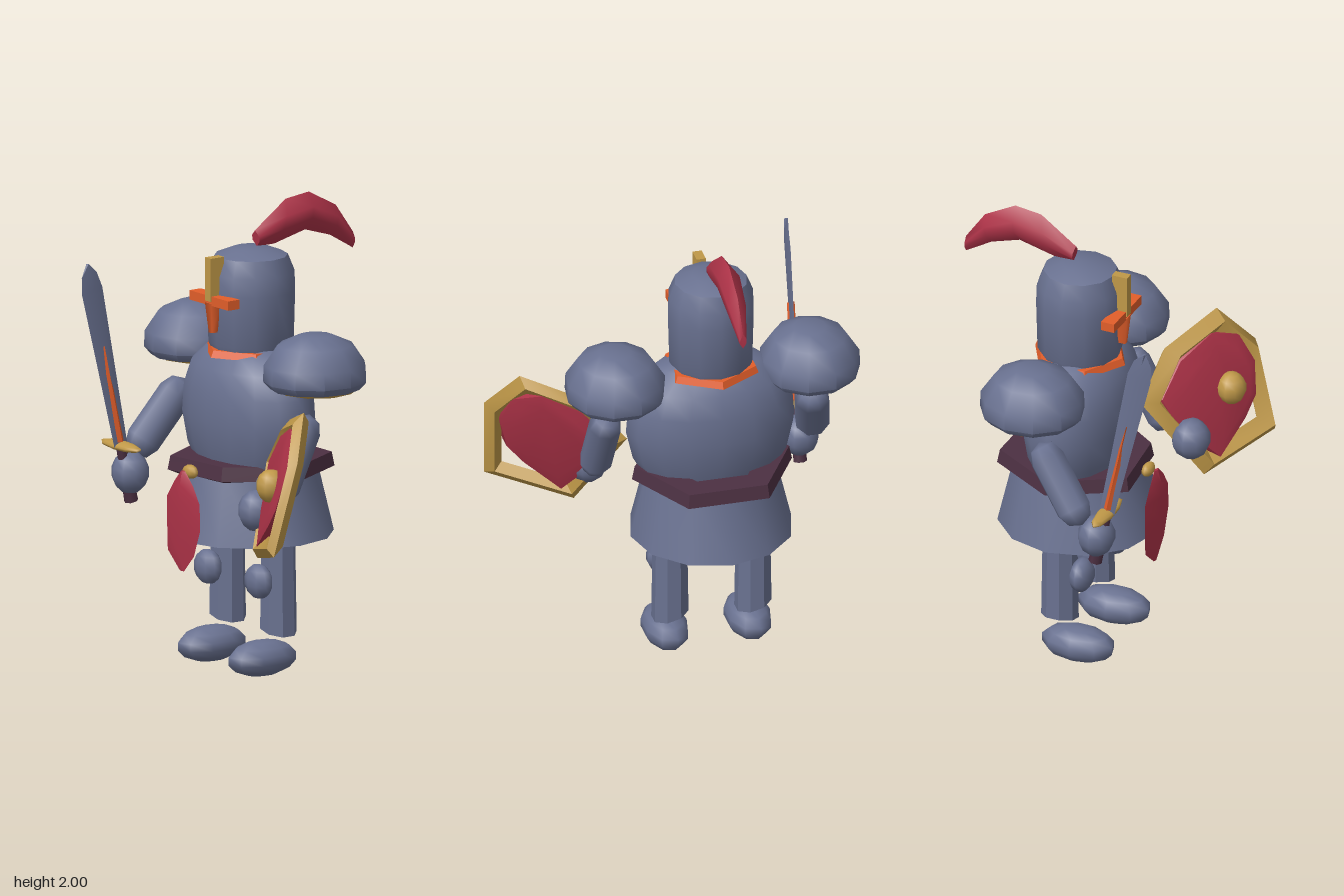
import * as THREE from 'three';
import { toCreasedNormals } from 'three/addons/utils/BufferGeometryUtils.js';

const makeMaterial = (name, color, side = THREE.FrontSide) => {
  const m = new THREE.MeshStandardMaterial({ color, side });
  m.name = name;
  return m;
};

// Joins rings of [x, y, z] points; closed rings loop round, open ones get end caps.
function loft(rings, closed = false, crease = 0.7) {
  const n = rings[0].length, count = rings.length, index = [];
  const pts = rings.flat();
  for (let i = 0; i < (closed ? count : count - 1); i++) {
    for (let j = 0; j < n; j++) {
      const a = i * n + j, b = i * n + (j + 1) % n;
      const c = ((i + 1) % count) * n + j, d = ((i + 1) % count) * n + (j + 1) % n;
      index.push(a, b, d, a, d, c);
    }
  }
  if (!closed) {
    const e = (count - 1) * n;
    for (let j = 1; j < n - 1; j++) index.push(0, j + 1, j, e, e + j, e + j + 1);
  }
  // Turn the faces outward if the enclosed volume is negative
  let volume = 0;
  const v = pts.map((p) => new THREE.Vector3(...p));
  for (let i = 0; i < index.length; i += 3) {
    volume += v[index[i]].dot(v[index[i + 1]].clone().cross(v[index[i + 2]]));
  }
  if (volume < 0) index.reverse();
  const g = new THREE.BufferGeometry();
  g.setAttribute('position', new THREE.Float32BufferAttribute(pts.flat(), 3));
  g.setIndex(index);
  return toCreasedNormals(g, crease);
}

// Six-cornered band; one outer radius per corner, starting at +x and turning to the front
const hexBand = (radii, inner, height, turn) => loft(radii.map((r, i) => {
  const a = i * Math.PI / 3 + turn, h = height / 2;
  const at = (rad, y) => [rad * Math.cos(a), y, rad * Math.sin(a)];
  return [at(inner, h), at(r - 0.012, h), at(r, -h * 0.5), at(r - 0.05, -h), at(inner, -h * 0.6)];
}), true);

const lathe = (points, sides) => toCreasedNormals(
  new THREE.LatheGeometry(points.map(([r, y]) => new THREE.Vector2(r, y)), sides), 0.8);

export function createModel() {
  const steel = makeMaterial('steel', 0x697190, THREE.DoubleSide);
  const red = makeMaterial('red', 0xae3348);
  const gold = makeMaterial('gold', 0xbf9848);
  const orange = makeMaterial('orange', 0xe25e2a);
  const leather = makeMaterial('dark leather', 0x4c3042);

  const model = new THREE.Group();
  model.name = 'knight';
  const cx = -0.125; // centre line of the body

  const add = (name, geometry, material, x = 0, y = 0, z = 0, parent = model) => {
    const mesh = new THREE.Mesh(geometry, material);
    mesh.name = name;
    mesh.position.set(x, y, z);
    parent.add(mesh);
    return mesh;
  };
  const ball = (name, material, x, y, z, rx, ry, rz, parent = model) =>
    add(name, new THREE.SphereGeometry(1, 9, 7).scale(rx, ry, rz), material, x, y, z, parent);
  const limb = (name, from, to, radius) => {
    const a = new THREE.Vector3(...from), b = new THREE.Vector3(...to);
    const dir = b.clone().sub(a);
    const mesh = add(name, new THREE.CapsuleGeometry(radius, dir.length(), 2, 8), steel);
    mesh.position.copy(a).add(b).multiplyScalar(0.5);
    mesh.quaternion.setFromUnitVectors(new THREE.Vector3(0, 1, 0), dir.normalize());
  };

  // Helmet with its cross-shaped visor
  add('helmet', lathe([[0.15, 1.34], [0.18, 1.4], [0.186, 1.62], [0.183, 1.7],
    [0.155, 1.77], [0.08, 1.8], [0, 1.805]], 12), steel, cx);
  add('visorBar', new THREE.BoxGeometry(0.275, 0.04, 0.06), orange, cx, 1.6, 0.19);
  add('visorCrest', new THREE.BoxGeometry(0.04, 0.185, 0.07), gold, cx, 1.69, 0.19);
  add('visorPoint', new THREE.CylinderGeometry(0.03, 0.016, 0.13, 4, 1).rotateY(Math.PI / 4).scale(1, 1, 1.3),
    orange, cx, 1.525, 0.197);

  // Plume: [top z, top y, bottom z, bottom y, half width]
  const plume = [[-0.02, 1.87, -0.03, 1.8, 0.025], [-0.18, 1.985, -0.12, 1.8, 0.042],
    [-0.3, 2, -0.28, 1.84, 0.047], [-0.44, 1.925, -0.41, 1.8, 0.038],
    [-0.528, 1.8, -0.528, 1.73, 0.015]];
  add('plume', loft(plume.map(([tz, ty, bz, by, w]) => {
    const at = (x, t) => [x, by + (ty - by) * t, bz + (tz - bz) * t];
    return [at(0, 1), at(w, 0.65), at(w, 0.35), at(0, 0), at(-w, 0.35), at(-w, 0.65)];
  }), false, 1.2), red, cx);

  // Body
  add('breastplate', lathe([[0, 0.85], [0.28, 0.855], [0.335, 0.95], [0.365, 1.08], [0.355, 1.2],
    [0.315, 1.3], [0.22, 1.375], [0.12, 1.4], [0, 1.4]], 16).scale(1, 1, 0.61), steel, cx, 0, 0.012);
  add('collar', hexBand(Array(6).fill(0.208), 0.15, 0.04, Math.PI / 6), orange, cx, 1.362, 0);
  add('belt', hexBand([0.342, 0.31, 0.352, 0.352, 0.35, 0.352], 0.22, 0.08, 0), leather, cx, 0.875, 0);
  add('skirt', lathe([[0.349, 0.58], [0.28, 0.87], [0, 0.875]], 12), steel, cx);
  ball('buckle', gold, cx, 0.878, 0.315, 0.045, 0.03, 0.025);

  // Hanging cloth: [y, left x, right x, half thickness]
  const cloth = [[0.885, -0.14, -0.11, 0.008], [0.83, -0.19, -0.055, 0.02], [0.76, -0.24, -0.01, 0.022],
    [0.65, -0.24, -0.005, 0.02], [0.53, -0.235, -0.05, 0.012], [0.455, -0.15, -0.12, 0.004]];
  add('hangingCloth', loft(cloth.map(([y, l, r, t]) => {
    const m = (l + r) / 2, z = 0.352;
    return [[l, y, z], [m, y, z + t], [r, y, z], [m, y, z - t]];
  })), red);

  // Shoulders, legs and feet on both sides
  for (const side of [-1, 1]) {
    const sx = cx + side * 0.422, lx = cx + side * 0.18;
    add('shoulder', lathe([[0, 1.272], [0.185, 1.268], [0.213, 1.3], [0.21, 1.37], [0.155, 1.455],
      [0.07, 1.495], [0, 1.495]], 11).scale(1, 1, 1.05), steel, sx, 0, -0.025);
    add('shoulderLining', new THREE.CylinderGeometry(0.188, 0.16, 0.026, 9), gold, sx, 1.268, -0.03);
    // The shin ends are cut at a slant
    add('leg', loft([[0.76, 0.07, 0], [0.19, 0.079, 0.02]].map(([y, r, slant]) =>
      Array.from({ length: 8 }, (_, i) => {
        const a = (i + 0.5) * Math.PI / 4;
        return [r * Math.cos(a), y - slant * Math.cos(a), r * Math.sin(a)];
      }))), steel, lx, 0, -0.01);
    ball('knee', steel, lx, 0.41, 0.092, 0.078, 0.075, 0.05);
    ball('foot', steel, lx, 0.08, 0.075, 0.098, 0.077, 0.168);
  }

  // Arms and hands
  limb('rightArm', [-0.58, 1.1, 0.06], [-0.618, 0.91, 0.2], 0.076);
  limb('leftArm', [0.32, 1.1, 0.05], [0.33, 0.87, 0.165], 0.07);
  ball('rightHand', steel, -0.587, 0.79, 0.29, 0.085, 0.092, 0.08);
  ball('leftHand', steel, 0.33, 0.79, 0.3, 0.085, 0.09, 0.085);

  // Sword, leaning forward
  const sword = new THREE.Group();
  sword.name = 'sword';
  sword.position.set(-0.587, 0.91, 0.338);
  sword.rotation.x = 0.215;
  model.add(sword);
  const blade = (name, profile, thick, material) => add(name, loft(profile.map(([y, w]) =>
    [[0, y, w], [thick, y, 0], [0, y, -w], [-thick, y, 0]])), material, 0, 0, 0, sword);
  blade('blade', [[0, 0.034], [0.3, 0.042], [0.7, 0.054], [0.77, 0.04], [0.82, 0.006]], 0.009, steel);
  blade('bladeGroove', [[0.02, 0.022], [0.25, 0.019], [0.45, 0.003]], 0.017, orange);
  ball('guard', gold, 0, 0, 0, 0.14, 0.018, 0.034, sword);
  add('grip', new THREE.CylinderGeometry(0.022, 0.03, 0.25, 7), leather, 0, -0.125, 0, sword);

  // Shield: drawn in x and y, then leaned onto a slanted plane
  const lean = (x, y) => 0.305 + 0.56 * (x - 0.5) - 0.3 * (y - 0.93);
  const outline = [[0.63, 1.26], [0.752, 1.08], [0.725, 0.685], [0.38, 0.6], [0.205, 0.98], [0.37, 1.17]];
  const mx = 0.52, my = 0.93;
  const toward = ([x, y], k, dz) => {
    const px = mx + (x - mx) * k, py = my + (y - my) * k;
    return [px, py, lean(px, py) + dz];
  };
  add('shieldRim', loft(outline.map((p) => [toward(p, 1, 0), toward(p, 0.86, 0.042),
    toward(p, 0.7, 0), toward(p, 0.86, -0.042)]), true), gold);
  const face = [[0.55, 1.18], [0.66, 1.14], [0.695, 1.01], [0.66, 0.87], [0.59, 0.79], [0.44, 0.665],
    [0.29, 0.88], [0.27, 0.98], [0.39, 1.11]];
  add('shieldFace', loft([[0.75, -0.05], [1, -0.035], [1, 0.035], [0.75, 0.05]].map(([k, dz]) =>
    face.map((p) => toward(p, k, dz)))), red);
  ball('shieldBoss', gold, 0.545, 0.945, 0.387, 0.066, 0.072, 0.064);

  return model;
}
